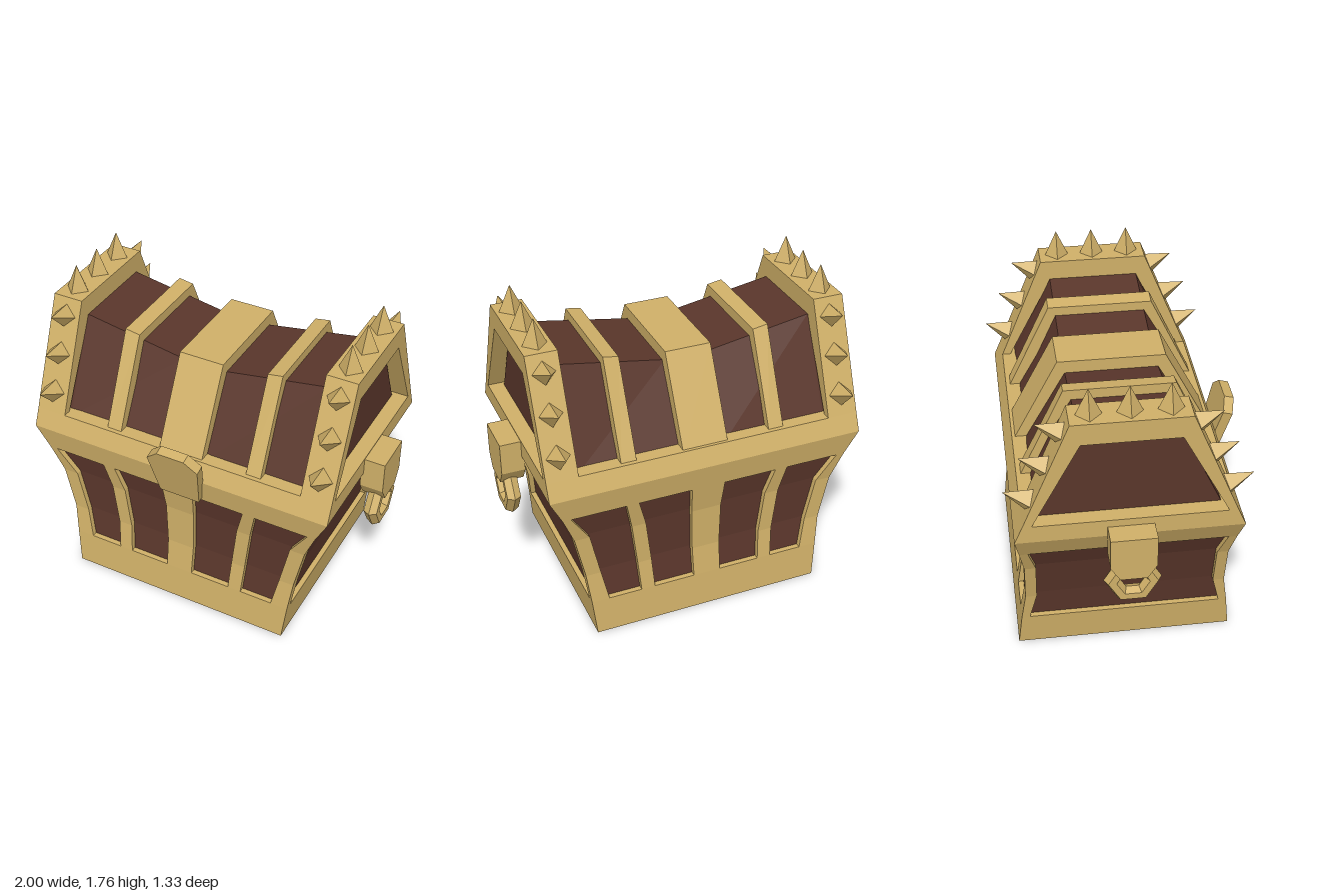
import * as THREE from 'three';

const gold = new THREE.MeshStandardMaterial({ color: 0xd0b068, flatShading: true });
const wood = new THREE.MeshStandardMaterial({ color: 0x5a362b, flatShading: true, side: THREE.DoubleSide });
const V = (x, y, z) => new THREE.Vector3(x, y, z);

// Joins matching cross-section loops; faces are turned outward by signed volume
function loft(sections, { closed = false, caps = true } = {}) {
  const tris = [];
  const n = sections[0].length, m = sections.length;
  for (let s = 0; s < (closed ? m : m - 1); s++) {
    const a = sections[s], b = sections[(s + 1) % m];
    for (let i = 0; i < n; i++) {
      const j = (i + 1) % n;
      tris.push([a[i], a[j], b[j]], [a[i], b[j], b[i]]);
    }
  }
  if (caps && !closed) {
    const a = sections[0], b = sections[m - 1];
    for (let i = 1; i < n - 1; i++) tris.push([a[0], a[i + 1], a[i]], [b[0], b[i], b[i + 1]]);
  }
  let volume = 0;
  for (const [a, b, c] of tris) volume += a.dot(b.clone().cross(c));
  const points = tris.flatMap(([a, b, c]) => (volume < 0 ? [a, c, b] : [a, b, c]));
  const geo = new THREE.BufferGeometry().setFromPoints(points);
  geo.computeVertexNormals();
  return geo;
}

// Flared chest outline: height, half width, half depth
const levels = [
  [0, 0.655, 0.59], [0.2, 0.675, 0.568], [0.37, 0.695, 0.543],
  [0.62, 0.75, 0.543], [0.78, 0.815, 0.568], [0.92, 0.885, 0.59], [1.02, 0.885, 0.547],
];
const mid = levels.slice(1, 5);
const T = 0.045;

// Rectangular hoop around the chest
function hoop(rows, thickness) {
  const corners = [[1, 1], [1, -1], [-1, -1], [-1, 1]];
  return loft(corners.map(([sx, sz]) => [
    ...rows.map(([y, x, z]) => V(sx * x, y, sz * z)),
    ...rows.map(([y, x, z], i) => V(sx * (x - thickness[i]), y, sz * (z - thickness[i]))).reverse(),
  ]), { closed: true });
}

// Trapezoid across the lid at one x
const trapezoid = (x, y0, h0, y1, h1) => [V(x, y0, h0), V(x, y1, h1), V(x, y1, -h1), V(x, y0, -h0)];

export function createModel() {
  const model = new THREE.Group();
  const chest = new THREE.Group();
  chest.name = 'chest';
  chest.position.z = -0.025;
  model.add(chest);
  const add = (name, geo, mat = gold, parent = chest) => {
    const mesh = new THREE.Mesh(geo, mat);
    mesh.name = name;
    parent.add(mesh);
    return mesh;
  };

  // Base and rim hoops, with the wooden walls set back between them
  add('baseBand', hoop(levels.slice(0, 2), [T, T]));
  add('rimBand', hoop(levels.slice(4), [T, 0.07, 0.09]));
  const inset = 0.03;
  add('woodWalls', loft(mid.map(([y, x, z]) => [
    V(x - inset, y, z - inset), V(x - inset, y, inset - z),
    V(inset - x, y, inset - z), V(inset - x, y, z - inset),
  ]), { caps: false }), wood);

  // L-shaped corner posts
  const windowX = [0.575, 0.61, 0.665, 0.77];
  const windowZ = [0.523, 0.482, 0.482, 0.523];
  for (const sx of [1, -1]) for (const sz of [1, -1]) {
    add('cornerPost', loft(mid.map(([y, x, z], i) => [
      [x, z], [x, windowZ[i]], [x - T, windowZ[i]],
      [x - T, z - T], [windowX[i], z - T], [windowX[i], z],
    ].map(([px, pz]) => V(sx * px, y, sz * pz)))));
  }

  // Curved ribs on the front and back walls
  const ribs = [
    [[0.31, 0.32, 0.35, 0.395], [0.388, 0.4, 0.43, 0.465]],
    [[-0.078, -0.08, -0.085, -0.095], [0.078, 0.08, 0.085, 0.095]],
    [[-0.388, -0.4, -0.43, -0.465], [-0.31, -0.32, -0.35, -0.395]],
  ];
  for (const sz of [1, -1]) for (const [left, right] of ribs) {
    add('wallRib', loft(mid.map(([y, , z], i) => [
      V(left[i], y, sz * z), V(right[i], y, sz * z),
      V(right[i], y, sz * (z - T)), V(left[i], y, sz * (z - T)),
    ])));
  }

  // Sagging wooden lid; its ends close the arch openings
  const lidTops = [[-0.8, 1.5], [-0.71, 1.51], [-0.12, 1.41], [0.12, 1.41], [0.71, 1.51], [0.8, 1.5]];
  add('lidWood', loft(lidTops.map(([x, y]) => trapezoid(x, 0.98, 0.49, y, 0.25))), wood);

  // Lid straps
  const strap = (x0, x1, y0, y1, h) => add('lidStrap',
    loft([trapezoid(x0, 1, h, y0, 0.29), trapezoid(x1, 1, h, y1, 0.29)]));
  strap(-0.12, 0.135, 1.48, 1.48, 0.54);
  strap(-0.45, -0.365, 1.522, 1.508, 0.532);
  strap(0.39, 0.475, 1.508, 1.522, 0.532);

  // End arches with spikes
  const archShape = new THREE.Shape([
    [0.547, 1.02], [0.3, 1.62], [-0.3, 1.62], [-0.547, 1.02],
    [-0.5, 1.02], [-0.25, 1.5], [0.25, 1.5], [0.5, 1.02],
  ].map(([z, y]) => new THREE.Vector2(z, y)));
  const spikeGeo = new THREE.ConeGeometry(0.068, 0.15, 4).translate(0, 0.07, 0);
  const slope = Math.atan2(0.7, 0.3);
  for (const side of [1, -1]) {
    const arch = new THREE.Group();
    arch.name = side > 0 ? 'leftArch' : 'rightArch';
    chest.add(arch);
    const depth = 0.173;
    const geo = new THREE.ExtrudeGeometry(archShape, { depth, bevelEnabled: false })
      .translate(0, 0, -depth / 2).rotateY(Math.PI / 2);
    add('archFrame', geo, gold, arch).position.x = side * (0.885 - depth / 2);
    for (const z of [-0.2, 0, 0.2]) {
      add('topSpike', spikeGeo, gold, arch).position.set(side * 0.8, 1.62, z);
    }
    for (const sz of [1, -1]) for (const y of [1.13, 1.33, 1.525]) {
      const spike = add('sideSpike', spikeGeo, gold, arch);
      spike.position.set(side * 0.8, y, sz * (0.59 - (y - 0.92) * 0.4286));
      spike.rotation.x = sz * slope;
    }
  }

  // Side brackets with hexagonal rings
  const bracketShape = new THREE.Shape([
    [0.12, 1.015], [-0.12, 1.015], [-0.12, 0.835], [-0.07, 0.755], [0.07, 0.755], [0.12, 0.835],
  ].map(([z, y]) => new THREE.Vector2(z, y)));
  for (const side of [1, -1]) {
    const handle = new THREE.Group();
    handle.name = side > 0 ? 'leftHandle' : 'rightHandle';
    chest.add(handle);
    const geo = new THREE.ExtrudeGeometry(bracketShape, { depth: 0.13, bevelEnabled: false })
      .translate(0, 0, -0.065).rotateY(Math.PI / 2);
    add('bracket', geo, gold, handle).position.set(side * 0.935, side > 0 ? 0 : -0.038, 0);
    const ring = add('ring', new THREE.TorusGeometry(0.108, 0.043, 6, 6), gold, handle);
    ring.rotation.y = Math.PI / 2;
    ring.position.set(side * 0.945, 0.675, 0);
  }

  // Tilted front clasp
  const claspShape = new THREE.Shape([
    [-0.118, 0], [0.118, 0], [0.15, 0.27], [0.08, 0.335], [-0.08, 0.335], [-0.15, 0.27],
  ].map(([x, y]) => new THREE.Vector2(x, y)));
  const clasp = add('clasp', new THREE.ExtrudeGeometry(claspShape, { depth: 0.055, bevelEnabled: false }));
  clasp.position.set(0.037, 0.805, 0.55);
  clasp.rotation.x = 0.27;

  return model;
}
